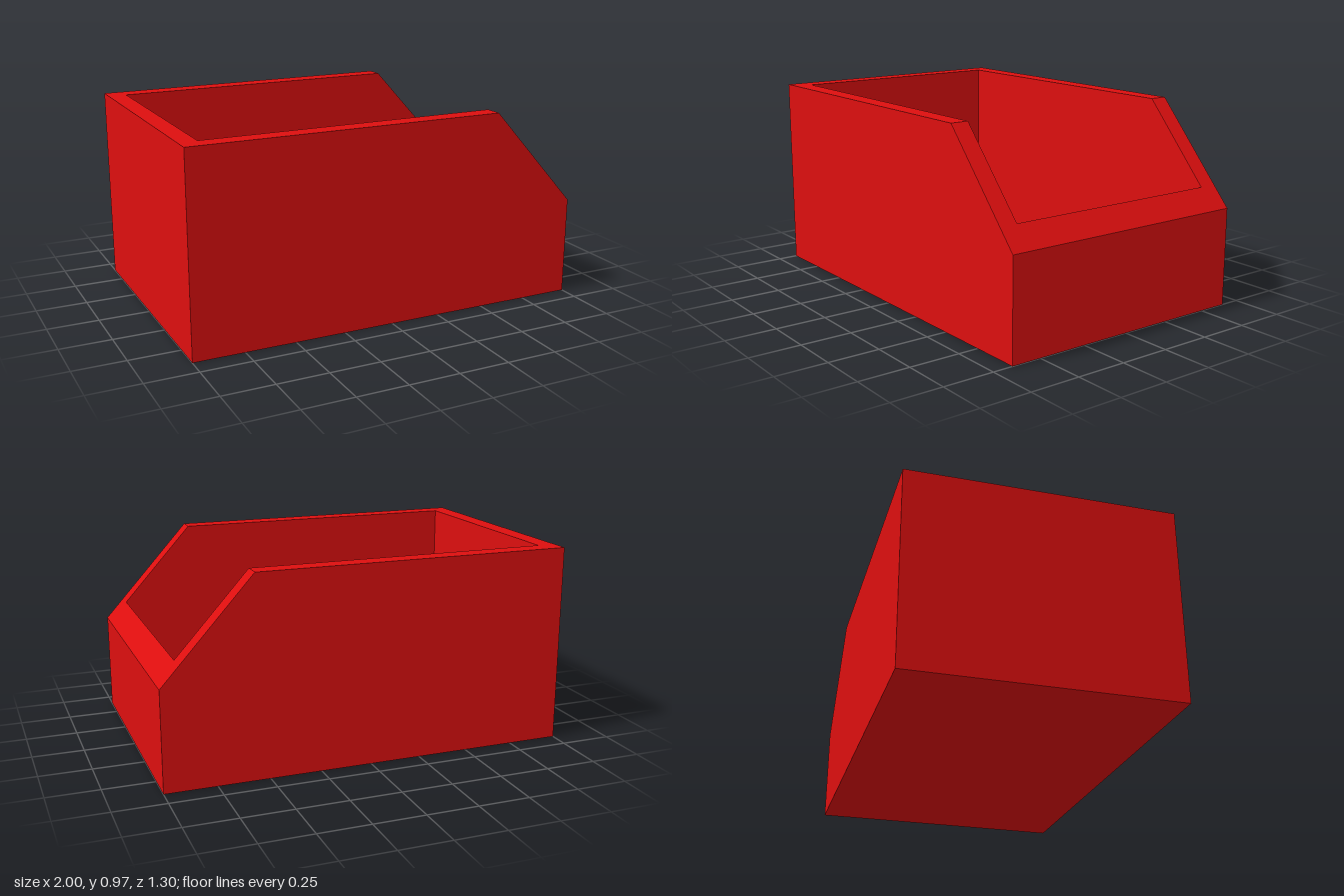
import * as THREE from 'three';

const HEIGHT = 0.973, FRONT_HEIGHT = 0.487, BEND = 0.56, FLOOR = 0.03;
const OUTER = [1, 0.65], INNER = [0.91, 0.56];

// Height of the rim: level, then sloping down towards the +x end
const rimHeight = (x) =>
  x <= BEND ? HEIGHT : HEIGHT - ((x - BEND) / (1 - BEND)) * (HEIGHT - FRONT_HEIGHT);

// Rectangular loop, anticlockwise from above, with an extra point at each bend
function ring([hx, hz], height) {
  return [[-hx, hz], [BEND, hz], [hx, hz], [hx, -hz], [BEND, -hz], [-hx, -hz]]
    .map(([x, z]) => [x, height(x), z]);
}

// Closed skin: outer walls, rim, inner walls, with caps for base and floor
function trayGeometry() {
  const rings = [
    ring(OUTER, () => 0),
    ring(OUTER, rimHeight),
    ring(INNER, rimHeight),
    ring(INNER, () => FLOOR),
  ];
  const n = rings[0].length, index = [];
  for (let r = 0; r < rings.length - 1; r++) {
    for (let i = 0; i < n; i++) {
      const a = r * n + i, b = r * n + ((i + 1) % n);
      index.push(a, b, b + n, a, b + n, a + n);
    }
  }
  const top = (rings.length - 1) * n;
  for (let i = 2; i < n; i++) {
    const j = (i + 1) % n;
    index.push(1, j, i);                   // underside
    index.push(top + 1, top + i, top + j); // inner floor
  }
  const indexed = new THREE.BufferGeometry();
  indexed.setAttribute('position', new THREE.Float32BufferAttribute(rings.flat(2), 3));
  indexed.setIndex(index);
  const geometry = indexed.toNonIndexed();
  geometry.computeVertexNormals();
  return geometry;
}

export function createModel() {
  const red = new THREE.MeshStandardMaterial({ color: 0xdd0f0f });
  red.name = 'red';

  const bin = new THREE.Mesh(trayGeometry(), red);
  bin.name = 'storageBin';

  const model = new THREE.Group();
  model.name = 'openFrontBin';
  model.add(bin);
  return model;
}
